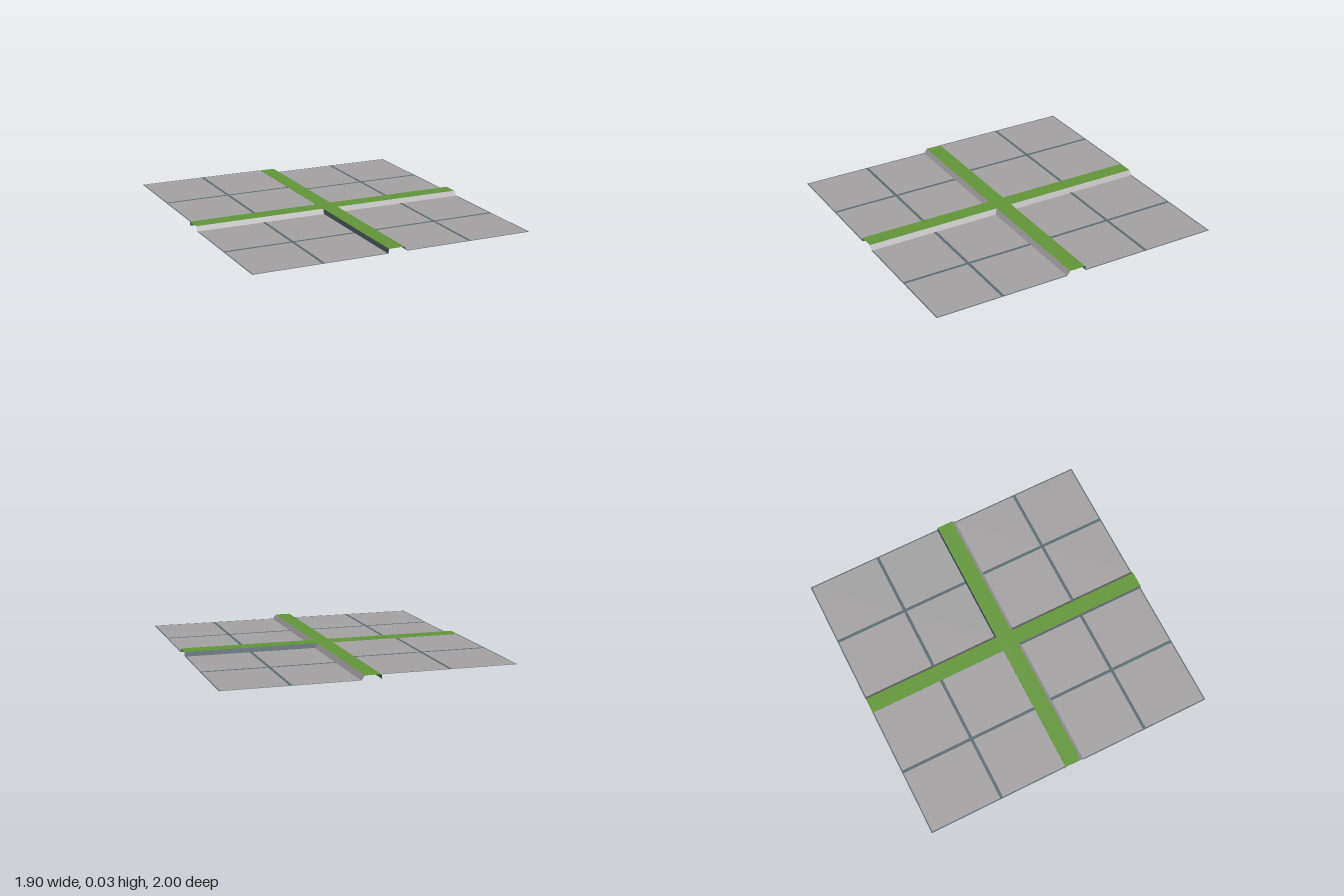
import * as THREE from 'three';

const mat = (name, color) => {
  const m = new THREE.MeshStandardMaterial({ color, side: THREE.DoubleSide });
  m.name = name;
  return m;
};

export function createModel() {
  const grey = mat('paving grey', 0xa5a3a3);
  const slate = mat('slate', 0x5c6b73);
  const green = mat('grass green', 0x639839);
  const root = new THREE.Group();

  const W = 0.95, D = 1, H = 0.03;      // half width, half depth, strip height
  const X0 = -0.055, X1 = 0.05;         // lengthwise strip, top edges
  const Z0 = -0.04, Z1 = 0.07;          // crosswise strip, top edges
  const XB0 = -0.06, XB1 = 0.073;       // lengthwise strip, feet
  const ZB0 = -0.045, ZB1 = 0.092;      // crosswise strip, feet

  // Single face through four corners, counter-clockwise from outside
  const quad = (name, m, a, b, c, d, parent = root) => {
    const g = new THREE.BufferGeometry();
    g.setAttribute('position', new THREE.Float32BufferAttribute([...a, ...b, ...c, ...d], 3));
    g.setIndex([0, 1, 2, 0, 2, 3]);
    g.computeVertexNormals();
    const mesh = new THREE.Mesh(g, m);
    mesh.name = name;
    parent.add(mesh);
  };
  // Level face looking up
  const flat = (name, m, x0, x1, z0, z1, y, parent) =>
    quad(name, m, [x0, y, z1], [x1, y, z1], [x1, y, z0], [x0, y, z0], parent);

  // Paved quarters with joint lines and borders; the back right quarter is raised
  const quarter = (name, x0, x1, z0, z1, jx, jz, y) => {
    const q = new THREE.Group();
    q.name = name;
    root.add(q);
    flat('paving', grey, x0, x1, z0, z1, y, q);
    const t = y + 0.0015, w = 0.01, e = 0.008;
    flat('jointLengthwise', slate, jx - w, jx + w, z0, z1, t, q);
    flat('jointCrosswise', slate, x0, x1, jz - w, jz + w, t, q);
    const ox = x0 < -0.5 ? x0 : x1 - e, oz = z0 < -0.5 ? z0 : z1 - e;
    flat('borderSide', slate, ox, ox + e, z0, z1, t, q);
    flat('borderEnd', slate, x0, x1, oz, oz + e, t, q);
  };
  quarter('backRaisedQuarter', -W, X0, -D, Z0, -0.505, -0.5, H - 0.001);
  quarter('backQuarter', XB1, W, -D, ZB0, 0.51, -0.5, 0);
  quarter('frontQuarterA', -W, XB0, ZB1, D, -0.49, 0.545, 0);
  quarter('frontQuarterB', XB1, W, ZB1, D, 0.515, 0.545, 0);

  // Green cross
  flat('grassCrosswise', green, -W, W, Z0, Z1, H);
  flat('grassBack', green, X0, X1, -D, Z0, H);
  flat('grassFront', green, X0, X1, Z1, D, H);

  // Sloping grey banks, split by the crossing
  for (const [a, at, b, bt] of [[-W, -W, XB0, X0], [XB1, X1, W, W]])
    quad('frontBank', grey, [a, 0, ZB1], [b, 0, ZB1], [bt, H, Z1], [at, H, Z1]);
  for (const [a, at, b, bt] of [[-D, -D, ZB0, Z0], [ZB1, Z1, D, D]])
    quad('sideBank', grey, [XB1, 0, b], [XB1, 0, a], [X1, H, at], [X1, H, bt]);

  // Steep slate walls running through the crossing
  quad('backWall', slate, [W, 0, ZB0], [-W, 0, ZB0], [-W, H, Z0], [W, H, Z0]);
  quad('sideWall', slate, [XB0, 0, -D], [XB0, 0, D], [X0, H, D], [X0, H, -D]);

  return root;
}
